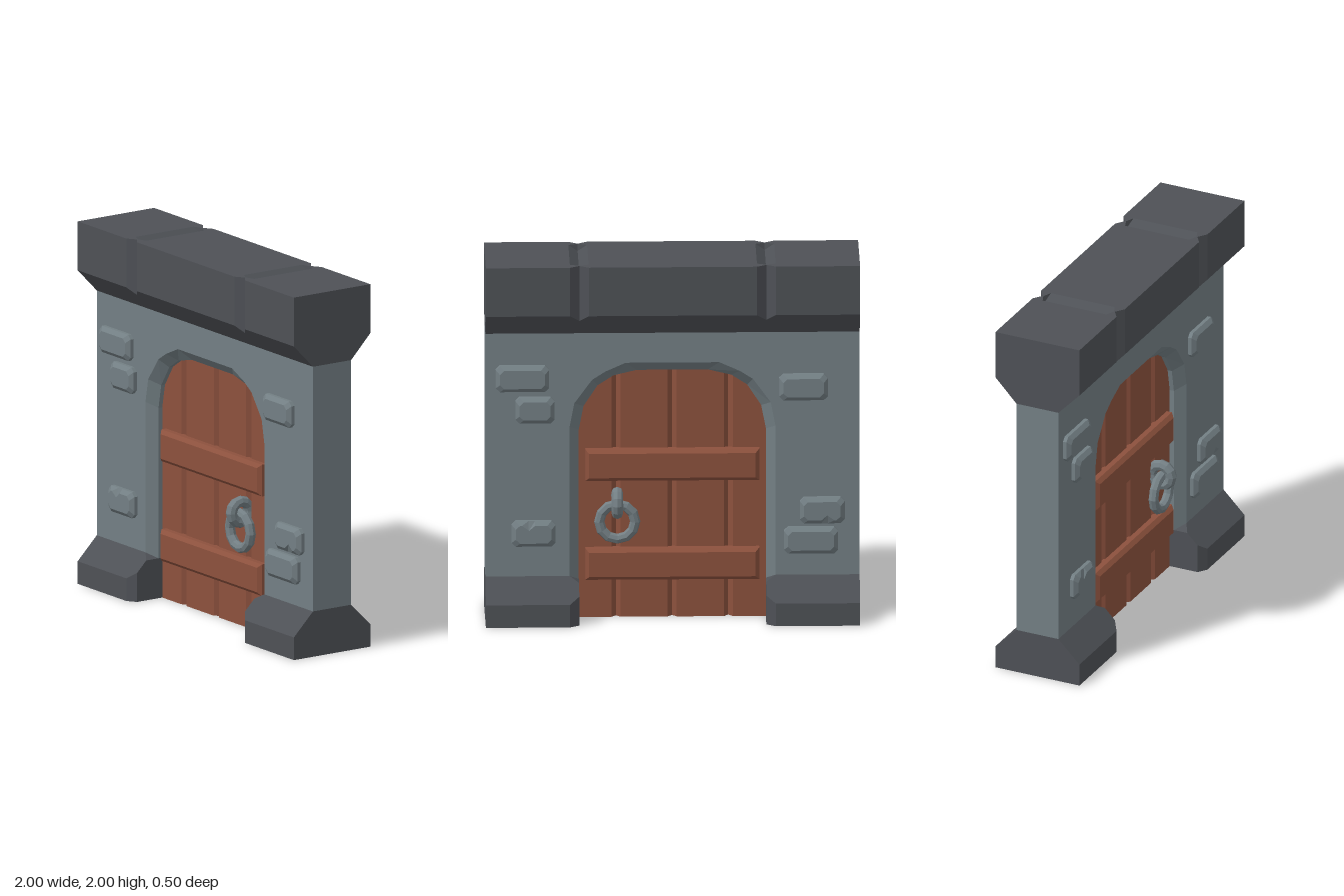
import * as THREE from 'three';

const V = (x, y, z) => new THREE.Vector3(x, y, z);

// Faceted skin through rings that run counter-clockwise seen from the end of the loft
function loft(rings, { closed = true, caps = true } = {}) {
  const tris = [];
  const n = rings[0].length;
  for (let i = 0; i < rings.length - 1; i++) {
    for (let j = 0; j < (closed ? n : n - 1); j++) {
      const k = (j + 1) % n;
      const a = rings[i][j], b = rings[i][k], c = rings[i + 1][k], d = rings[i + 1][j];
      tris.push(a, b, c, a, c, d);
    }
  }
  if (caps) {
    const fan = (ring, flip) => {
      const mid = ring.reduce((s, p) => s.add(p), V(0, 0, 0)).divideScalar(n);
      ring.forEach((p, j) => {
        const q = ring[(j + 1) % n];
        tris.push(mid, flip ? q : p, flip ? p : q);
      });
    };
    fan(rings[0], true);
    fan(rings[rings.length - 1], false);
  }
  const geo = new THREE.BufferGeometry().setFromPoints(tris);
  geo.computeVertexNormals();
  return geo;
}

// Section at x from its front half, given as [z, y] from bottom to top
const section = (x, half) => [
  ...half.map(([z, y]) => V(x, y, -z)),
  ...[...half].reverse().map(([z, y]) => V(x, y, z)),
];

// Block standing on z0 with cut corners and a bevelled front; chip: 1 = top edge, -1 = bottom edge
function bevelBlock([x0, x1, y0, y1], [z0, z1, z2], inset, corner, chip = 0, chipX = 0) {
  const ring = (z, d, dent) => {
    const l = x0 + d, r = x1 - d, b = y0 + d, t = y1 - d, c = corner;
    const pts = [V(l + c, b, z)];
    if (chip < 0) pts.push(V(chipX - 0.035, b, z), V(chipX, b + dent, z), V(chipX + 0.035, b, z));
    pts.push(V(r - c, b, z), V(r, b + c, z), V(r, t - c, z), V(r - c, t, z));
    if (chip > 0) pts.push(V(chipX + 0.035, t, z), V(chipX, t - dent, z), V(chipX - 0.035, t, z));
    pts.push(V(l + c, t, z), V(l, t - c, z), V(l, b + c, z));
    return pts;
  };
  return loft([ring(z0, 0, 0), ring(z1, 0, 0), ring(z2, inset, 0.03)]);
}

export function createModel() {
  const model = new THREE.Group();
  model.name = 'stoneDoorway';

  const material = (name, color) => {
    const m = new THREE.MeshStandardMaterial({ color });
    m.name = name;
    return m;
  };
  const stone = material('stone', 0x737f84);
  const darkStone = material('darkStone', 0x4e5156);
  const wood = material('wood', 0x8c513d);

  const add = (name, geo, mat, parent = model) => {
    const mesh = new THREE.Mesh(geo, mat);
    mesh.name = name;
    parent.add(mesh);
    return mesh;
  };

  // Right half of the arch, on the wall face and at the inner edge of its chamfer
  const outer = [[0.55, 1.08], [0.525, 1.21], [0.43, 1.34], [0.36, 1.385], [0.25, 1.434]];
  const inner = [[0.5, 1.05], [0.475, 1.18], [0.4, 1.295], [0.315, 1.35], [0.19, 1.38]];
  const archPath = (half, foot) => {
    const right = [[half[0][0], foot], ...half];
    return [...right, ...[...right].reverse().map(([x, y]) => [-x, y])];
  };

  // Wall with arched opening
  const wallShape = new THREE.Shape(
    [[1, 0.25], [1, 1.6], [-1, 1.6], [-1, 0.25], ...archPath(outer, 0.25).reverse()]
      .map(([x, y]) => new THREE.Vector2(x, y)));
  const wallGeo = new THREE.ExtrudeGeometry(wallShape, { depth: 0.25, bevelEnabled: false });
  add('wall', wallGeo.translate(0, 0, -0.125), stone);

  // Header beam with V grooves on front, back and top
  const plain = [[0.125, 1.6], [0.25, 1.73], [0.25, 2], [0.19, 2], [0.19, 2]];
  const groove = [[0.125, 1.6], [0.215, 1.694], [0.215, 2], [0.21, 2], [0.205, 1.962]];
  const stations = [[-1, plain], [-0.55, plain], [-0.5, groove], [-0.45, plain],
    [0.45, plain], [0.5, groove], [0.55, plain], [1, plain]];
  add('headerBeam', loft(stations.map(([x, half]) => section(x, half))), darkStone);

  // Plinths either side of the door
  const foot = [[0.25, 0], [0.25, 0.125], [0.125, 0.25]];
  const footEnd = [[0.215, 0], [0.215, 0.16], [0.155, 0.22]];
  const plinthGeo = loft([section(0.5, footEnd), section(0.55, foot), section(1, foot)]);
  add('leftPlinth', plinthGeo, darkStone);
  add('rightPlinth', plinthGeo, darkStone).rotation.y = Math.PI;

  // Door of four planks parted by V grooves
  const edge = [[-0.51, 0.05]];
  for (const x of [-0.3, 0, 0.3]) edge.push([x - 0.024, 0.05], [x, 0.022], [x + 0.024, 0.05]);
  edge.push([0.51, 0.05]);
  const plan = [...edge, ...[...edge].reverse().map(([x, z]) => [x, -z])];
  const doorGeo = new THREE.ExtrudeGeometry(
    new THREE.Shape(plan.map(([x, z]) => new THREE.Vector2(x, z))),
    { depth: 1.4, bevelEnabled: false });
  add('doorPlanks', doorGeo.rotateX(-Math.PI / 2), wood);

  // Details repeated on both faces by a half turn
  const liningAt = (half, z) => archPath(half, 0.2).map(([x, y]) => V(x, y, z));
  const liningGeo = loft(
    [liningAt(outer, 0.125), liningAt(inner, 0.075), liningAt(inner, 0.03)],
    { closed: false, caps: false });
  const bricks = [
    [[-0.945, -0.66, 1.28, 1.425]],
    [[-0.84, -0.63, 1.105, 1.25]],
    [[0.57, 0.83, 1.225, 1.37]],
    [[-0.86, -0.625, 0.42, 0.563], 1, -0.77],
    [[0.68, 0.92, 0.54, 0.685], -1, 0.83],
    [[0.595, 0.885, 0.372, 0.52]],
  ];
  const bars = [[-0.465, 0.465, 0.765, 0.94], [-0.465, 0.465, 0.215, 0.39]];

  for (const side of ['front', 'back']) {
    const face = new THREE.Group();
    face.name = side + 'Details';
    if (side === 'back') face.rotation.y = Math.PI;
    model.add(face);
    add('archChamfer', liningGeo, stone, face);
    for (const [box, chip, chipX] of bricks) {
      add('brick', bevelBlock(box, [0.12, 0.145, 0.165], 0.022, 0.022, chip, chipX), stone, face);
    }
    for (const box of bars) {
      add('doorBar', bevelBlock(box, [0.04, 0.08, 0.1], 0.02, 0), wood, face);
    }

    // Ring handle hanging from its staple
    const handle = new THREE.Group();
    handle.name = 'ringHandle';
    handle.position.set(side === 'front' ? 0.295 : -0.295, 0, 0.102);
    face.add(handle);
    const torus = (radius, tube) => {
      const geo = new THREE.TorusGeometry(radius, tube, 8, 12).toNonIndexed();
      geo.computeVertexNormals();
      return geo;
    };
    add('ring', torus(0.096, 0.028), stone, handle).position.y = 0.545;
    const staple = add('staple', torus(0.058, 0.031), stone, handle);
    staple.position.y = 0.648;
    staple.rotation.y = Math.PI / 2;
  }
  return model;
}
